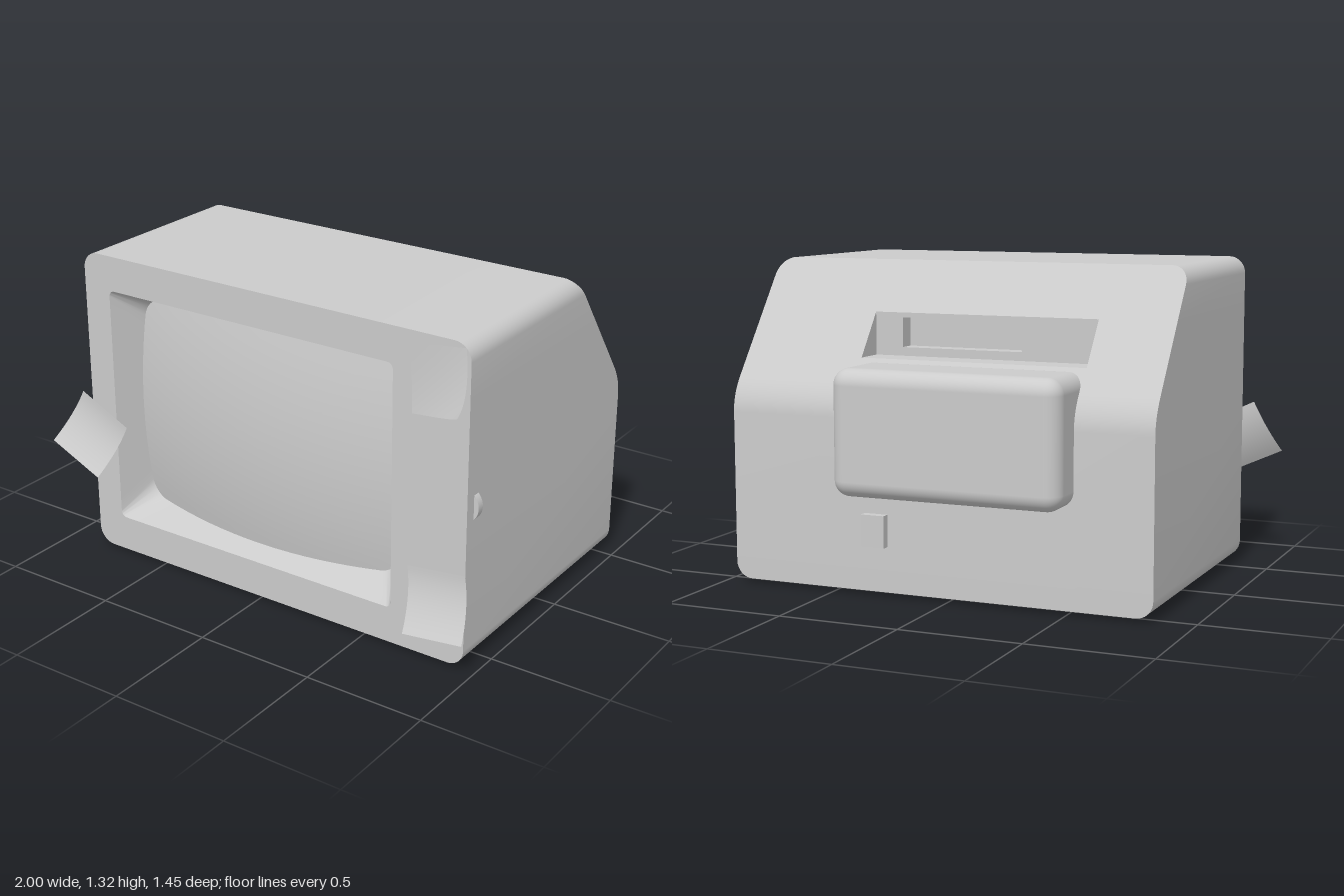
import * as THREE from 'three';
import { toCreasedNormals } from 'three/addons/utils/BufferGeometryUtils.js';
import { RoundedBoxGeometry } from 'three/addons/geometries/RoundedBoxGeometry.js';

const grey = new THREE.MeshStandardMaterial({ color: 0xcccccc });
const greyThin = new THREE.MeshStandardMaterial({ color: 0xcccccc, side: THREE.DoubleSide });

const FRONT = 0.637, CX = 0.055, HALF = 0.9, Y0 = 0.015, Y1 = 1.315, R = 0.07;

// Cabinet depth at height y: vertical back, soft bend, then a slope up to the top
function backZ(y) {
  if (y <= 0.705) return -0.56;
  if (y < 0.845) return -0.56 + 2.68 * (y - 0.705) ** 2;
  return -0.155 - (Y1 - y) * 0.75;
}

// Half width of the cabinet at height y (rounded long edges)
function halfWidth(y) {
  const d = Math.max(0, R - Math.min(y - Y0, Y1 - y));
  return HALF - R + Math.sqrt(Math.max(0, R * R - d * d));
}

// Counter-clockwise rounded rectangle with evenly divided sides
function roundedLoop(w, h, r, cx, cy, corner = 8, side = 16) {
  const pts = [];
  const signs = [[1, 1], [-1, 1], [-1, -1], [1, -1]];
  signs.forEach(([sx, sy], k) => {
    for (let i = 0; i <= corner; i++) {
      const a = (k + i / corner) * Math.PI / 2;
      pts.push(new THREE.Vector2(cx + sx * (w - r) + r * Math.cos(a), cy + sy * (h - r) + r * Math.sin(a)));
    }
    const from = pts[pts.length - 1];
    const [nx, ny] = signs[(k + 1) % 4], a = (k + 1) * Math.PI / 2;
    const to = new THREE.Vector2(cx + nx * (w - r) + r * Math.cos(a), cy + ny * (h - r) + r * Math.sin(a));
    for (let i = 1; i < side; i++) pts.push(from.clone().lerp(to, i / side));
  });
  return pts;
}

// Collects four-cornered faces into one geometry
function quadSet() {
  const pos = [];
  return {
    add: (a, b, c, d) => pos.push(...a, ...b, ...c, ...a, ...c, ...d),
    geometry(crease = 0.5) {
      const g = new THREE.BufferGeometry();
      g.setAttribute('position', new THREE.Float32BufferAttribute(pos, 3));
      return toCreasedNormals(g, crease);
    },
  };
}

// Joins two loops of points
function joinLoops(q, outer, inner) {
  outer.forEach((p, i) => {
    const j = (i + 1) % outer.length;
    q.add(p, outer[j], inner[j], inner[i]);
  });
}

export function createModel() {
  const model = new THREE.Group();
  const add = (name, geometry, x = 0, y = 0, z = 0, material = grey) => {
    const m = new THREE.Mesh(geometry, material);
    m.name = name;
    m.position.set(x, y, z);
    model.add(m);
    return m;
  };
  const box = (name, x0, x1, y0, y1, z0, z1) =>
    add(name, new THREE.BoxGeometry(x1 - x0, y1 - y0, z1 - z0), (x0 + x1) / 2, (y0 + y1) / 2, (z0 + z1) / 2);

  // Cabinet shell: rows by height, with a gap in the slope for the handle recess
  const nx0 = -0.53, nx1 = 0.43, ny0 = 0.935, ny1 = 1.11;
  const levels = [ny0, ny1, 0.705, 0.845];
  for (let i = 0; i <= 8; i++) {
    const d = R * (1 - Math.cos(i / 8 * Math.PI / 2));
    levels.push(Y0 + d, Y1 - d);
  }
  for (let i = 1; i < 8; i++) levels.push(0.705 + 0.14 * i / 8);
  levels.sort((a, b) => a - b);
  const shell = quadSet();
  for (let i = 0; i < levels.length - 1; i++) {
    const a = levels[i], b = levels[i + 1], za = backZ(a), zb = backZ(b);
    const wa = halfWidth(a), wb = halfWidth(b);
    shell.add([CX + wa, a, FRONT], [CX + wa, a, za], [CX + wb, b, zb], [CX + wb, b, FRONT]);
    shell.add([CX - wa, a, za], [CX - wa, a, FRONT], [CX - wb, b, FRONT], [CX - wb, b, zb]);
    const colsA = [CX - wa, nx0, nx1, CX + wa], colsB = [CX - wb, nx0, nx1, CX + wb];
    for (let k = 0; k < 3; k++) {
      if (k === 1 && a >= ny0 && b <= ny1) continue;
      shell.add([colsA[k + 1], a, za], [colsA[k], a, za], [colsB[k], b, zb], [colsB[k + 1], b, zb]);
    }
  }
  const wt = HALF - R, zt = backZ(Y1), zb = backZ(Y0);
  shell.add([CX - wt, Y0, zb], [CX + wt, Y0, zb], [CX + wt, Y0, FRONT], [CX - wt, Y0, FRONT]);
  shell.add([CX - wt, Y1, FRONT], [CX + wt, Y1, FRONT], [CX + wt, Y1, zt], [CX - wt, Y1, zt]);
  add('cabinet', shell.geometry());

  // Handle recess: upright wall with a slot, level floor, triangular ends
  const recess = quadSet();
  const zw = backZ(ny1), zf = backZ(ny0), zs = zw + 0.07;
  const xs = [nx0, -0.21, 0.31, nx1], ys = [ny0, 0.97, 1.09, ny1];
  for (let i = 0; i < 3; i++) for (let j = 0; j < 3; j++) {
    const z = i === 1 && j === 1 ? zs : zw;
    recess.add([xs[i + 1], ys[j], z], [xs[i], ys[j], z], [xs[i], ys[j + 1], z], [xs[i + 1], ys[j + 1], z]);
  }
  const slot = [[xs[1], ys[1]], [xs[2], ys[1]], [xs[2], ys[2]], [xs[1], ys[2]]];
  slot.forEach((p, i) => {
    const n = slot[(i + 1) % 4];
    recess.add([...p, zw], [...p, zs], [...n, zs], [...n, zw]);
  });
  recess.add([nx0, ny0, zw], [nx1, ny0, zw], [nx1, ny0, zf], [nx0, ny0, zf]);
  for (const x of [nx0, nx1]) recess.add([x, ny0, zf], [x, ny0, zw], [x, ny1, zw], [x, ny1, zw]);
  add('handleRecess', recess.geometry(), 0, 0, 0, greyThin);

  // Front panel with the screen opening
  const sx = -0.045, sy = 0.6675, ow = 0.675, oh = 0.5025;
  const opening = roundedLoop(ow, oh, 0.025, sx, sy);
  const panel = new THREE.Shape(roundedLoop(HALF, 0.65, R, CX, 0.665));
  panel.holes.push(new THREE.Path(opening));
  add('frontPanel', new THREE.ShapeGeometry(panel), 0, 0, FRONT);

  // Bulging screen; the tapered surround ends where it meets the glass
  const depth = (p) => 0.038 + 0.2 * ((p.x - sx) ** 2 + (p.y - sy) ** 2);
  const rim = opening.map((p, i) => {
    for (let k = 0; k < 6; k++) {
      const t = 0.43 * depth(p);
      p = roundedLoop(ow - t, oh - t, 0.075, sx, sy)[i];
    }
    return p;
  });
  const onGlass = (s) => rim.map((p) => {
    const v = new THREE.Vector2(sx + (p.x - sx) * s, sy + (p.y - sy) * s);
    return [v.x, v.y, FRONT - depth(v)];
  });
  const surround = quadSet();
  joinLoops(surround, opening.map((p) => [p.x, p.y, FRONT]), onGlass(1));
  add('screenSurround', surround.geometry());
  const glass = quadSet();
  for (let i = 12; i > 0; i--) joinLoops(glass, onGlass(i / 12), onGlass((i - 1) / 12));
  add('screen', glass.geometry(1));

  // Tube housing and socket on the back
  add('tubeHousing', new RoundedBoxGeometry(0.955, 0.505, 0.325, 6, 0.065), -0.0475, 0.6675, -0.5625);
  box('socket', 0.26, 0.36, 0.2, 0.33, -0.595, -0.55);

  // Thumb wheel at the side
  const wheel = new THREE.CylinderGeometry(0.0725, 0.0725, 0.03, 40).rotateX(Math.PI / 2);
  add('thumbWheel', wheel, 0.9025, 0.665, 0.575);

  // Feet
  for (const x of [-0.545, 0.65]) for (const z of [0.5, -0.42])
    box('foot', x - 0.06, x + 0.06, 0, 0.02, z - 0.062, z + 0.062);

  // Paper notes: corners are top left, top right, bottom right, bottom left
  const note = (name, [tl, tr, br, bl], bend) => {
    const g = new THREE.PlaneGeometry(1, 1, 14, 14);
    const pos = g.attributes.position;
    for (let i = 0; i < pos.count; i++) {
      const u = pos.getX(i) + 0.5, v = 0.5 - pos.getY(i);
      const mix = (k) => (1 - v) * ((1 - u) * tl[k] + u * tr[k]) + v * ((1 - u) * bl[k] + u * br[k]);
      const [dx, dy, dz] = bend(u, v);
      pos.setXYZ(i, mix(0) + dx, mix(1) + dy, FRONT + 0.002 + dz);
    }
    g.computeVertexNormals();
    add(name, g, 0, 0, 0, greyThin);
  };
  const curlUp = (u, v) => [0, 0, 0.086 * v * v];
  const curlCorner = (u, v) => {
    const t = 0.45 * u + 0.55 * v;
    return [-0.03 * t ** 6, 0.025 * t ** 6, 0.086 * t ** 3];
  };
  note('leftNote', [[-0.895, 0.695], [-0.665, 0.585], [-0.762, 0.367], [-1, 0.476]], curlUp);
  note('upperNote', [[0.7, 1.265], [0.94, 1.3], [0.985, 1.04], [0.725, 1.003]], curlCorner);
  note('lowerNote', [[0.705, 0.375], [0.955, 0.405], [0.998, 0.165], [0.74, 0.133]], curlUp);

  return model;
}
